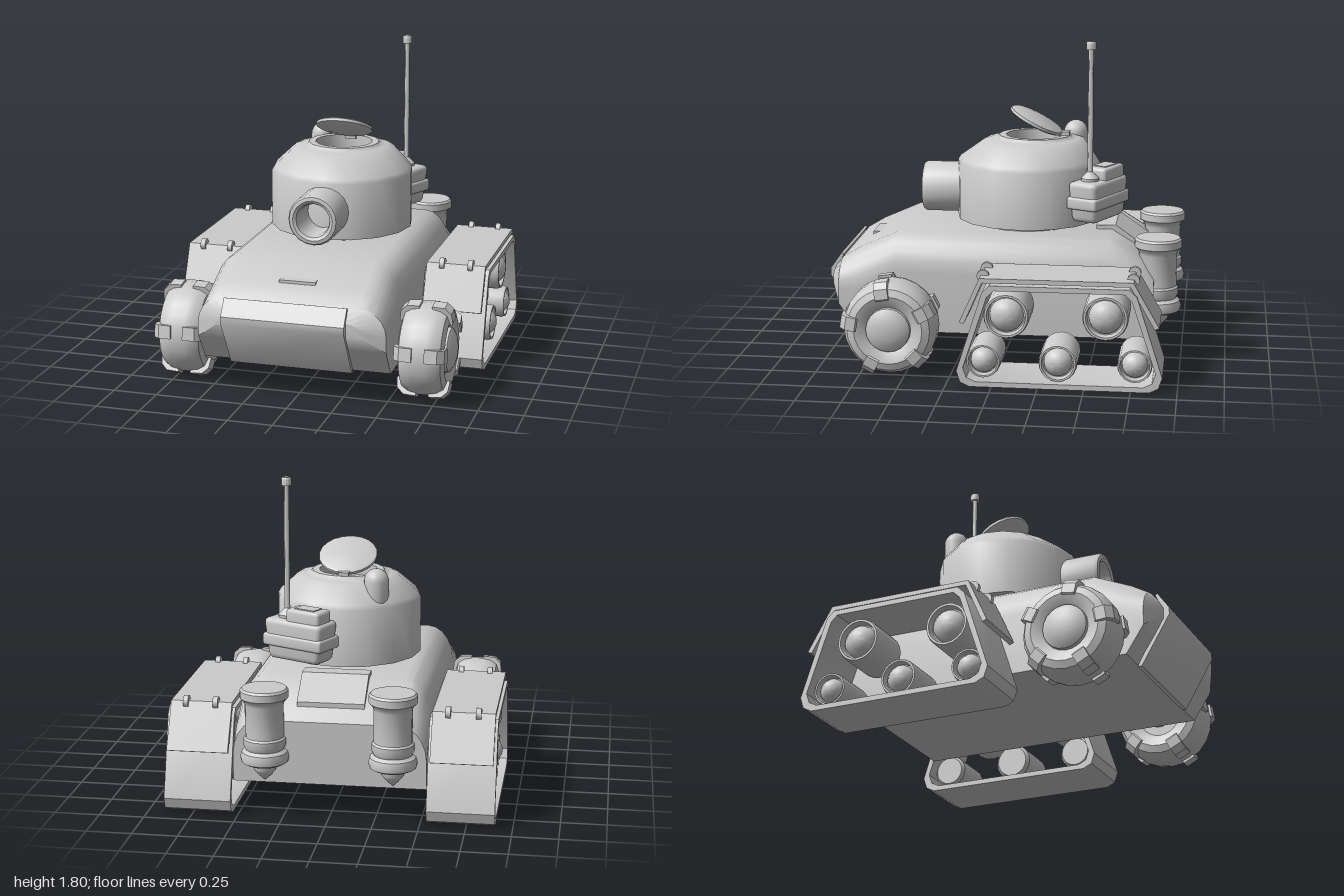
import * as THREE from 'three';
import { toCreasedNormals } from 'three/addons/utils/BufferGeometryUtils.js';
import { RoundedBoxGeometry } from 'three/addons/geometries/RoundedBoxGeometry.js';

const grey = new THREE.MeshStandardMaterial({ color: 0xcccccc, side: THREE.DoubleSide });
const V2 = (p) => new THREE.Vector2(p[0], p[1]);

function add(parent, name, geo, x = 0, y = 0, z = 0, crease = 0.6) {
  const mesh = new THREE.Mesh(toCreasedNormals(geo, crease), grey);
  mesh.name = name;
  mesh.position.set(x, y, z);
  parent.add(mesh);
  return mesh;
}

const lathe = (pts, seg = 20) => new THREE.LatheGeometry(pts.map(V2), seg);

// Outline given as [z, y], extruded to a width centred on x
function profile(pts, width, hole) {
  const shape = new THREE.Shape(pts.map(V2));
  if (hole) shape.holes.push(new THREE.Path(hole.map(V2)));
  const geo = new THREE.ExtrudeGeometry(shape, { depth: width, bevelEnabled: false });
  return geo.translate(0, 0, -width / 2).rotateY(-Math.PI / 2);
}

// Hull lofted along z: each section has a flat floor and rounded shoulders
function hullGeometry() {
  const sections = [ // z, floor, top, half width
    [-0.85, 0.19, 0.54, 0.53], [-0.78, 0.19, 0.62, 0.53], [-0.6, 0.19, 0.73, 0.53],
    [0.595, 0.19, 0.73, 0.53], [0.81, 0.19, 0.635, 0.53], [0.91, 0.34, 0.575, 0.53],
    [0.965, 0.43, 0.51, 0.41],
  ];
  const pos = [], idx = [], arc = 5;
  for (const [z, lo, hi, w] of sections) {
    const dy = Math.min(0.2, (hi - lo) * 0.65), half = [[w, lo]];
    for (let i = 0; i <= arc; i++) {
      const a = (i / arc) * Math.PI / 2;
      half.push([w - 0.15 * (1 - Math.cos(a)), hi - dy * (1 - Math.sin(a))]);
    }
    const ring = [...half, ...half.slice().reverse().map(([x, y]) => [-x, y])];
    for (const [x, y] of ring) pos.push(x, y, z);
  }
  const n = (arc + 2) * 2, last = (sections.length - 1) * n;
  for (let s = 0; s < sections.length - 1; s++) {
    for (let i = 0; i < n; i++) {
      const a = s * n + i, b = s * n + (i + 1) % n;
      idx.push(a, b, b + n, a, b + n, a + n);
    }
  }
  for (let i = 1; i < n - 1; i++) idx.push(0, i + 1, i, last, last + i, last + i + 1);
  const geo = new THREE.BufferGeometry();
  geo.setAttribute('position', new THREE.Float32BufferAttribute(pos, 3));
  geo.setIndex(idx);
  return geo;
}

function buildHull(g) {
  add(g, 'hull', hullGeometry());
  add(g, 'nosePlate', profile([[0.92, 0.575], [0.935, 0.58], [0.998, 0.49], [0.998, 0.45],
    [0.835, 0.18], [0.81, 0.18], [0.965, 0.45], [0.96, 0.49]], 0.69), -0.025);
  add(g, 'frontSlot', profile([[0.79, 0.62], [0.79, 0.66], [0.72, 0.665], [0.69, 0.66], [0.69, 0.62]], 0.205));
  add(g, 'enginePlate', profile([[-0.51, 0.7], [-0.51, 0.75], [-0.62, 0.755], [-0.79, 0.635], [-0.79, 0.58], [-0.6, 0.7]], 0.37));
}

function buildTurret(g) {
  add(g, 'turretRing', new THREE.CylinderGeometry(0.3, 0.3, 0.08, 20), 0, 0.75, -0.1);
  // Turret shell with an open hatch well, shifted back towards the top
  const shell = lathe([[0, 0.76], [0.41, 0.76], [0.41, 1.08], [0.395, 1.105], [0.29, 1.205], [0.25, 1.216],
    [0.215, 1.22], [0.205, 1.235], [0.165, 1.235], [0.165, 1.1], [0, 1.1]], 16);
  const p = shell.attributes.position;
  for (let i = 0; i < p.count; i++) {
    const inWell = Math.hypot(p.getX(i), p.getZ(i)) < 0.3 && p.getY(i) > 1;
    if (inWell) p.setZ(i, p.getZ(i) - 0.035);
  }
  add(g, 'turret', shell, 0, 0, -0.105, 0.9);

  const hatch = add(g, 'hatchLid', lathe([[0, -0.016], [0.15, -0.016], [0.165, -0.008], [0.165, 0.008], [0.15, 0.016], [0, 0.016]], 20), 0, 1.315, -0.15);
  hatch.rotation.x = -0.47;
  add(g, 'hatchHinge', new THREE.BoxGeometry(0.06, 0.04, 0.06), 0, 1.235, -0.31);

  const gun = add(g, 'gunBarrel', lathe([[0.145, 0], [0.145, 0.28], [0.135, 0.298], [0.115, 0.302],
    [0.098, 0.292], [0.09, 0.27], [0.09, 0.08], [0, 0.08]], 20), 0, 0.92, 0.2);
  gun.rotation.x = Math.PI / 2;
  add(g, 'periscope', new THREE.CapsuleGeometry(0.07, 0.12, 6, 14), -0.19, 1.16, -0.36);
}

function buildPack(g) {
  const pack = new THREE.Group();
  pack.name = 'stowagePack';
  pack.position.set(0.21, 0, -0.52);
  pack.rotation.y = -0.45;
  g.add(pack);
  // Soft bag, wider at the top
  const bag = new RoundedBoxGeometry(0.36, 0.23, 0.17, 2, 0.03);
  const p = bag.attributes.position;
  for (let i = 0; i < p.count; i++) {
    const k = 1 + p.getY(i) * 0.7;
    p.setX(i, p.getX(i) * k);
    p.setZ(i, p.getZ(i) * k);
  }
  add(pack, 'bag', bag, 0, 0.915, 0);
  add(pack, 'strap', new RoundedBoxGeometry(0.39, 0.07, 0.19, 2, 0.015), 0, 0.91, 0);
  add(pack, 'topBox', new RoundedBoxGeometry(0.22, 0.11, 0.13, 2, 0.02), -0.06, 1.04, -0.01);
  add(pack, 'topPouch', new THREE.BoxGeometry(0.13, 0.02, 0.08), -0.06, 1.09, -0.01);

  add(g, 'antenna', lathe([[0, 1], [0.05, 1], [0.05, 1.045], [0.03, 1.065], [0.016, 1.08], [0.014, 1.765],
    [0.028, 1.765], [0.028, 1.8], [0.022, 1.81], [0, 1.81]], 12), 0.29, 0, -0.48);
}

function buildFrontWheel(g, s) {
  const wheel = new THREE.Group();
  wheel.name = 'frontWheel';
  wheel.position.set(s * 0.685, 0.275, 0.58);
  g.add(wheel);
  const half = [[0.12, 0.1], [0.14, 0.115], [0.19, 0.13], [0.23, 0.115], [0.252, 0.08], [0.26, 0.04]];
  const mirrored = half.map(([r, y]) => [r, -y]);
  const tyre = lathe([[0, -0.1], ...mirrored, ...half.slice().reverse(), [0, 0.1]], 24);
  add(wheel, 'tyre', tyre.rotateZ(-Math.PI / 2));
  const hub = lathe([[0.125, 0.09], [0.122, 0.125], [0.09, 0.145], [0.05, 0.155], [0, 0.16]], 20);
  add(wheel, 'hub', hub.rotateZ(-s * Math.PI / 2));
  add(wheel, 'axle', new THREE.CylinderGeometry(0.07, 0.07, 0.2, 14).rotateZ(Math.PI / 2), -s * 0.14);
  // Five lugs wrapping each shoulder of the tyre
  const lug = [[0.055, 0.25], [0.14, 0.17], [0.147, 0.18], [0.14, 0.235], [0.105, 0.268], [0.035, 0.272], [0.035, 0.25]];
  for (const side of [1, -1]) {
    for (let i = 0; i < 5; i++) {
      const outline = lug.map(([x, y]) => [side * x, y]);
      const m = add(wheel, 'tyreLug', profile(outline, 0.075).rotateY(Math.PI / 2));
      m.rotation.x = THREE.MathUtils.degToRad(9 + i * 72);
    }
  }
}

function roadWheel(R, h) {
  return lathe([[0, -h], [R * 0.85, -h], [R, 0.02 - h], [R, h - 0.02], [R * 0.95, h], [R * 0.85, h],
    [R * 0.8, h - 0.04], [R * 0.74, h - 0.04], [R * 0.7, h - 0.02], [R * 0.5, h + 0.005], [R * 0.25, h + 0.018], [0, h + 0.022]], 20);
}

function buildTrack(g, s) {
  const track = new THREE.Group();
  track.name = 'trackUnit';
  track.position.x = s * 0.72;
  g.add(track);
  const band = [[0.12, 0.005], [0.17, 0.03], [0.19, 0.09], [0.05, 0.53], [0.01, 0.57],
    [-0.74, 0.57], [-0.78, 0.53], [-0.92, 0.09], [-0.9, 0.03], [-0.85, 0.005]];
  const inner = band.map(([z, y]) => [-0.365 + (z + 0.365) * 0.935, 0.29 + (y - 0.29) * 0.9]);
  add(track, 'trackBand', profile(band, 0.37, inner));
  add(track, 'trackCover', profile([[0.175, 0.36], [0.065, 0.605], [-0.76, 0.605], [-0.9, 0.36],
    [-0.875, 0.35], [-0.745, 0.58], [0.05, 0.58], [0.15, 0.35]], 0.34));
  // Hinges joining the top cover to its flaps
  for (const z of [0.055, -0.755]) {
    for (const x of [-0.08, 0.085]) {
      add(track, 'coverHinge', new THREE.CylinderGeometry(0.034, 0.034, 0.028, 12).rotateZ(Math.PI / 2), x, 0.6, z);
    }
  }
  const wheels = [[-0.075, 0.39, 0.125], [-0.61, 0.395, 0.125], [0.05, 0.135, 0.095], [-0.355, 0.135, 0.105], [-0.77, 0.135, 0.095]];
  for (const [z, y, r] of wheels) {
    add(track, 'roadWheel', roadWheel(r, 0.14).rotateZ(-s * Math.PI / 2), 0, y, z);
  }
}

function buildRearBarrel(g, s) {
  add(g, 'rearBarrel', lathe([[0, 0.21], [0.03, 0.235], [0.06, 0.27], [0.065, 0.3], [0.1, 0.305], [0.128, 0.32],
    [0.133, 0.345], [0.125, 0.375], [0.105, 0.39], [0.115, 0.41], [0.115, 0.45], [0.105, 0.46],
    [0.105, 0.64], [0.115, 0.665], [0.132, 0.68], [0.132, 0.72], [0.122, 0.732], [0, 0.735]], 18), s * 0.35, 0, -0.867);
  add(g, 'barrelBracket', new THREE.BoxGeometry(0.1, 0.16, 0.08), s * 0.35, 0.5, -0.83);
}

export function createModel() {
  const g = new THREE.Group();
  g.name = 'toyTank';
  buildHull(g);
  buildTurret(g);
  buildPack(g);
  for (const s of [1, -1]) {
    buildFrontWheel(g, s);
    buildTrack(g, s);
    buildRearBarrel(g, s);
  }
  return g;
}
